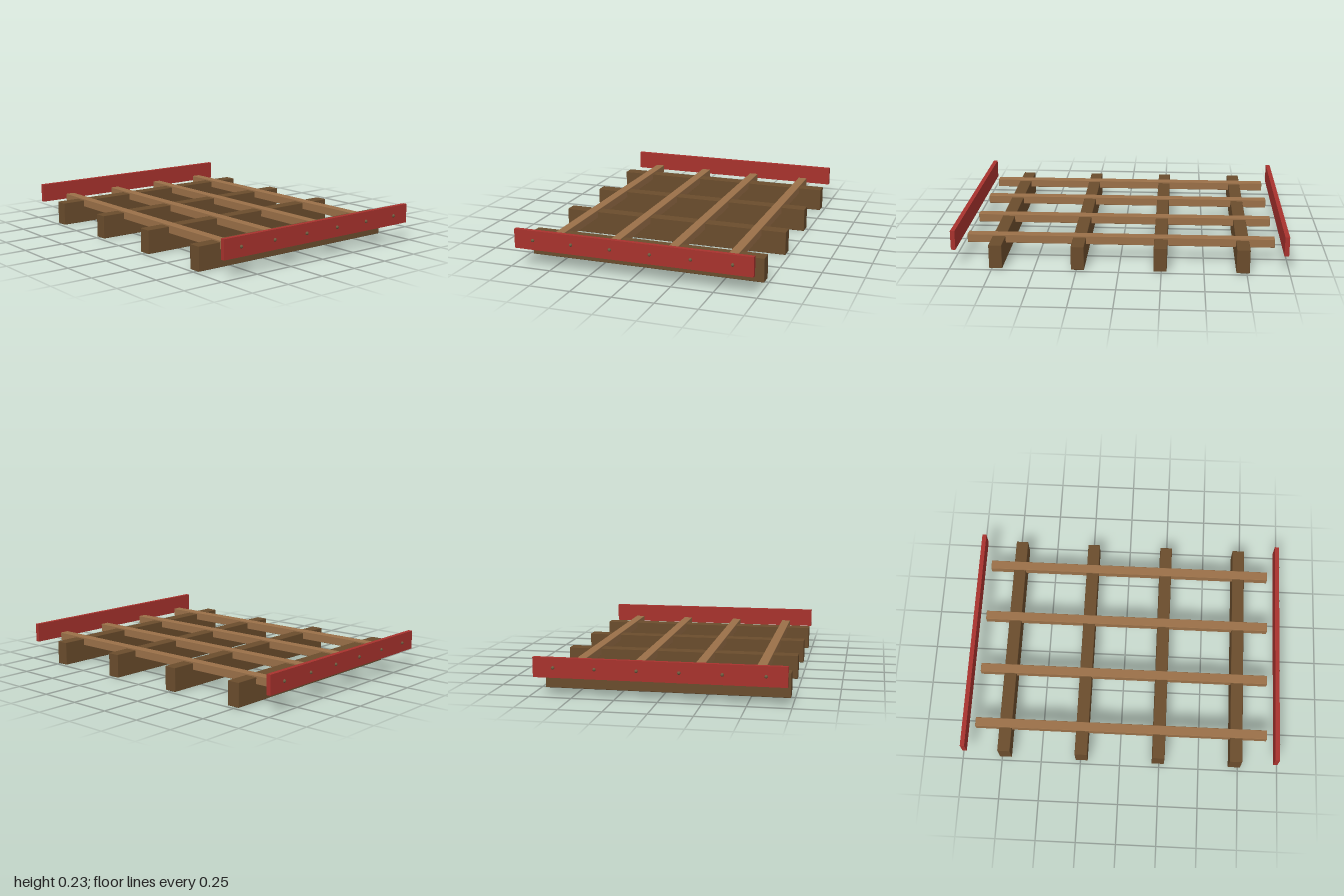
import * as THREE from 'three';
import { RoundedBoxGeometry } from 'three/addons/geometries/RoundedBoxGeometry.js';

const mat = (name, color) => {
  const m = new THREE.MeshStandardMaterial({ color });
  m.name = name;
  return m;
};

export function createModel() {
  const group = new THREE.Group();
  group.name = 'slattedFrame';
  const darkWood = mat('darkWood', 0x6a4c2c);
  const lightWood = mat('lightWood', 0x9a7048);
  const redPaint = mat('redPaint', 0xa8322d);
  const boltMetal = mat('boltMetal', 0x6e5c40);

  const add = (name, geometry, material, x, y, z) => {
    const mesh = new THREE.Mesh(geometry, material);
    mesh.name = name;
    mesh.position.set(x, y, z);
    group.add(mesh);
  };

  // Heavy joists running front to back
  const joist = new RoundedBoxGeometry(0.078, 0.146, 1.452, 1, 0.003);
  for (const x of [-0.728, -0.243, 0.243, 0.728]) add('joist', joist, darkWood, x, 0.073, 0);

  // Lighter cross beams notched over the joists
  const beam = new RoundedBoxGeometry(1.84, 0.052, 0.058, 1, 0.003);
  for (const z of [-0.545, -0.182, 0.182, 0.545]) add('crossBeam', beam, lightWood, 0, 0.13, z);

  // Red side boards with a row of bolt heads on the outer face
  const board = new THREE.BoxGeometry(0.027, 0.117, 1.452);
  const bolt = new THREE.SphereGeometry(0.01, 10, 8);
  for (const side of [-1, 1]) {
    add('sideBoard', board, redPaint, side * 0.9755, 0.171, 0);
    for (let i = 0; i < 6; i++) add('bolt', bolt, boltMetal, side * 0.99, 0.171, (i - 2.5) * 0.2425);
  }
  return group;
}
